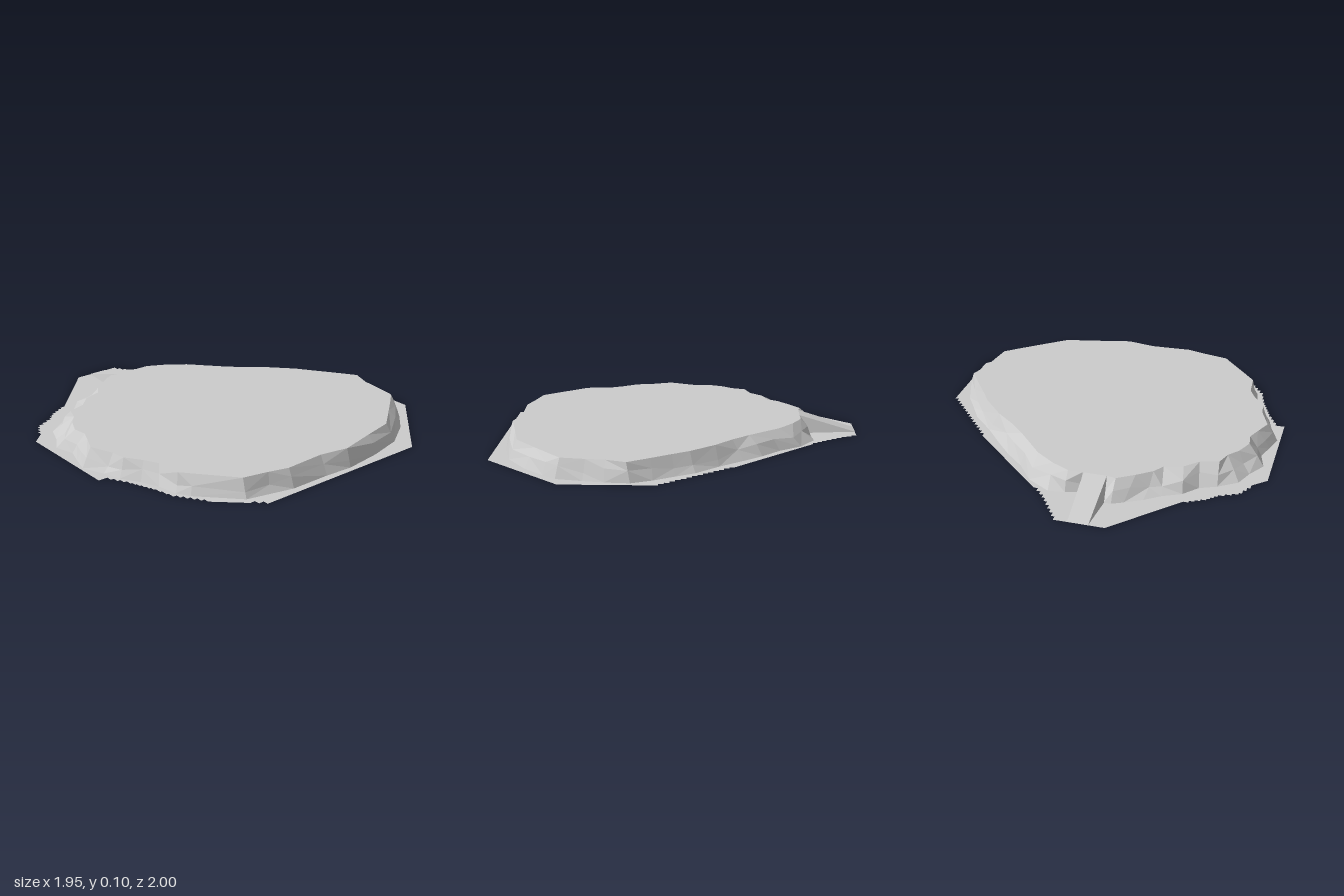
import * as THREE from 'three';

const HEIGHT = 0.1;

// Plateau rim and cliff foot, paired [x, z] points, clockwise seen from above
const RIM = [
  [-0.06, -0.68], [0.02, -0.68], [0.12, -0.63], [0.23, -0.55], [0.3, -0.47], [0.38, -0.38], [0.47, -0.29],
  [0.58, -0.2], [0.7, -0.07], [0.76, 0.02], [0.83, 0.12], [0.91, 0.24], [0.87, 0.35], [0.86, 0.45],
  [0.84, 0.58], [0.77, 0.64], [0.66, 0.73], [0.51, 0.85], [0.33, 0.89], [0.12, 0.94], [-0.04, 0.91],
  [-0.27, 0.92], [-0.38, 0.89], [-0.52, 0.86], [-0.68, 0.67], [-0.73, 0.61], [-0.74, 0.47], [-0.78, 0.39],
  [-0.84, 0.3], [-0.85, 0.22], [-0.9, 0.09], [-0.86, 0], [-0.83, -0.07], [-0.84, -0.15], [-0.8, -0.24],
  [-0.75, -0.3], [-0.72, -0.38], [-0.62, -0.41], [-0.55, -0.48], [-0.45, -0.51], [-0.41, -0.57],
  [-0.33, -0.63], [-0.24, -0.69], [-0.19, -0.68],
];
const FOOT = [
  [-0.04, -0.72], [0.02, -0.74], [0.11, -0.75], [0.24, -0.67], [0.33, -0.55], [0.44, -0.45], [0.53, -0.35],
  [0.64, -0.22], [0.76, -0.1], [0.82, 0], [0.89, 0.11], [0.94, 0.22], [0.93, 0.35], [0.91, 0.46],
  [0.88, 0.6], [0.82, 0.67], [0.71, 0.78], [0.54, 0.89], [0.34, 0.94], [0.12, 0.97], [-0.04, 0.96],
  [-0.27, 0.96], [-0.4, 0.93], [-0.53, 0.9], [-0.72, 0.7], [-0.76, 0.63], [-0.78, 0.52], [-0.82, 0.42],
  [-0.88, 0.32], [-0.91, 0.22], [-0.96, 0.1], [-0.93, 0], [-0.9, -0.09], [-0.93, -0.2], [-0.87, -0.3],
  [-0.83, -0.4], [-0.73, -0.47], [-0.64, -0.51], [-0.57, -0.59], [-0.47, -0.64], [-0.39, -0.7],
  [-0.3, -0.75], [-0.24, -0.78], [-0.2, -0.78],
];

// Ground outline; a third value gives the number of stair steps to the next point
const GROUND = [
  [-0.27, -1], [0, -1, 6], [0.12, -0.82, 3], [0.19, -0.74], [0.65, -0.3, 14], [0.97, 0.08], [0.97, 0.58],
  [0.56, 1], [-0.48, 1, 2], [-0.54, 0.94], [-0.69, 0.8, 5], [-0.79, 0.65, 3], [-0.82, 0.53, 5],
  [-0.87, 0.4, 4], [-0.94, 0.27], [-0.975, 0.27], [-0.975, -0.34], [-0.9, -0.41, 3], [-0.85, -0.5, 3],
  [-0.75, -0.55, 3], [-0.7, -0.6, 4], [-0.59, -0.66],
];

function seeded(seed) {
  return () => (seed = (seed * 16807) % 2147483647) / 2147483647;
}

// Break jagged stretches of the outline into little right-angled steps
function stepped(points) {
  const out = [];
  points.forEach(([x, z, steps = 0], i) => {
    const [nx, nz] = points[(i + 1) % points.length];
    out.push([x, z]);
    for (let s = 1; s <= steps; s++) {
      const zs = z + ((nz - z) * s) / steps;
      out.push([x + ((nx - x) * (s - 1)) / steps, zs]);
      if (s < steps) out.push([x + ((nx - x) * s) / steps, zs]);
    }
  });
  return out;
}

const toShapePoints = (points) => points.map(([x, z]) => new THREE.Vector2(x, -z));

function flatSheet(outline, y, hole) {
  const shape = new THREE.Shape(toShapePoints(outline));
  if (hole) shape.holes.push(new THREE.Path(toShapePoints(hole)));
  return new THREE.ShapeGeometry(shape).rotateX(-Math.PI / 2).translate(0, y, 0);
}

function fromTriangles(triangles) {
  const geometry = new THREE.BufferGeometry();
  geometry.setAttribute('position', new THREE.Float32BufferAttribute(triangles.flat(2), 3));
  geometry.computeVertexNormals();
  return geometry;
}

// Corners run anticlockwise as seen from outside
const quad = (a, b, c, d, flip) => (flip ? [[a, b, d], [b, c, d]] : [[a, b, c], [a, c, d]]);

// Rocky wall: rim, an uneven middle ledge and the foot
function cliffGeometry() {
  const rand = seeded(17);
  const top = RIM.map(([x, z]) => [x, HEIGHT, z]);
  const base = FOOT.map(([x, z]) => [x, 0, z]);
  const ledge = top.map((p, i) => {
    const t = 0.4 + rand() * 0.3;
    return [
      p[0] + (base[i][0] - p[0]) * t,
      HEIGHT * (0.3 + rand() * 0.35),
      p[2] + (base[i][2] - p[2]) * t,
    ];
  });
  const triangles = [];
  top.forEach((_, i) => {
    const n = (i + 1) % top.length;
    triangles.push(...quad(top[i], top[n], ledge[n], ledge[i], rand() < 0.5));
    triangles.push(...quad(ledge[i], ledge[n], base[n], base[i], rand() < 0.5));
  });
  return fromTriangles(triangles);
}

// Sloping wedge with slightly splayed sides
function rampGeometry() {
  const topL = [-0.19, HEIGHT, -0.68], topR = [-0.065, HEIGHT, -0.68];
  const endL = [-0.185, 0.002, -1], endR = [-0.075, 0.002, -1];
  const footL = [-0.21, 0, -0.7], footR = [-0.045, 0, -0.7];
  return fromTriangles([
    ...quad(topL, topR, endR, endL),
    [topL, endL, footL],
    [topR, footR, endR],
  ]);
}

export function createModel() {
  const group = new THREE.Group();
  group.name = 'plateau';
  const material = new THREE.MeshStandardMaterial({
    color: 0xcccccc, flatShading: true, side: THREE.DoubleSide,
  });
  const add = (name, geometry) => {
    const mesh = new THREE.Mesh(geometry, material);
    mesh.name = name;
    group.add(mesh);
  };
  add('ground', flatSheet(stepped(GROUND), 0, FOOT));
  add('cliffWall', cliffGeometry());
  add('plateauTop', flatSheet(RIM, HEIGHT));
  add('ramp', rampGeometry());
  return group;
}
